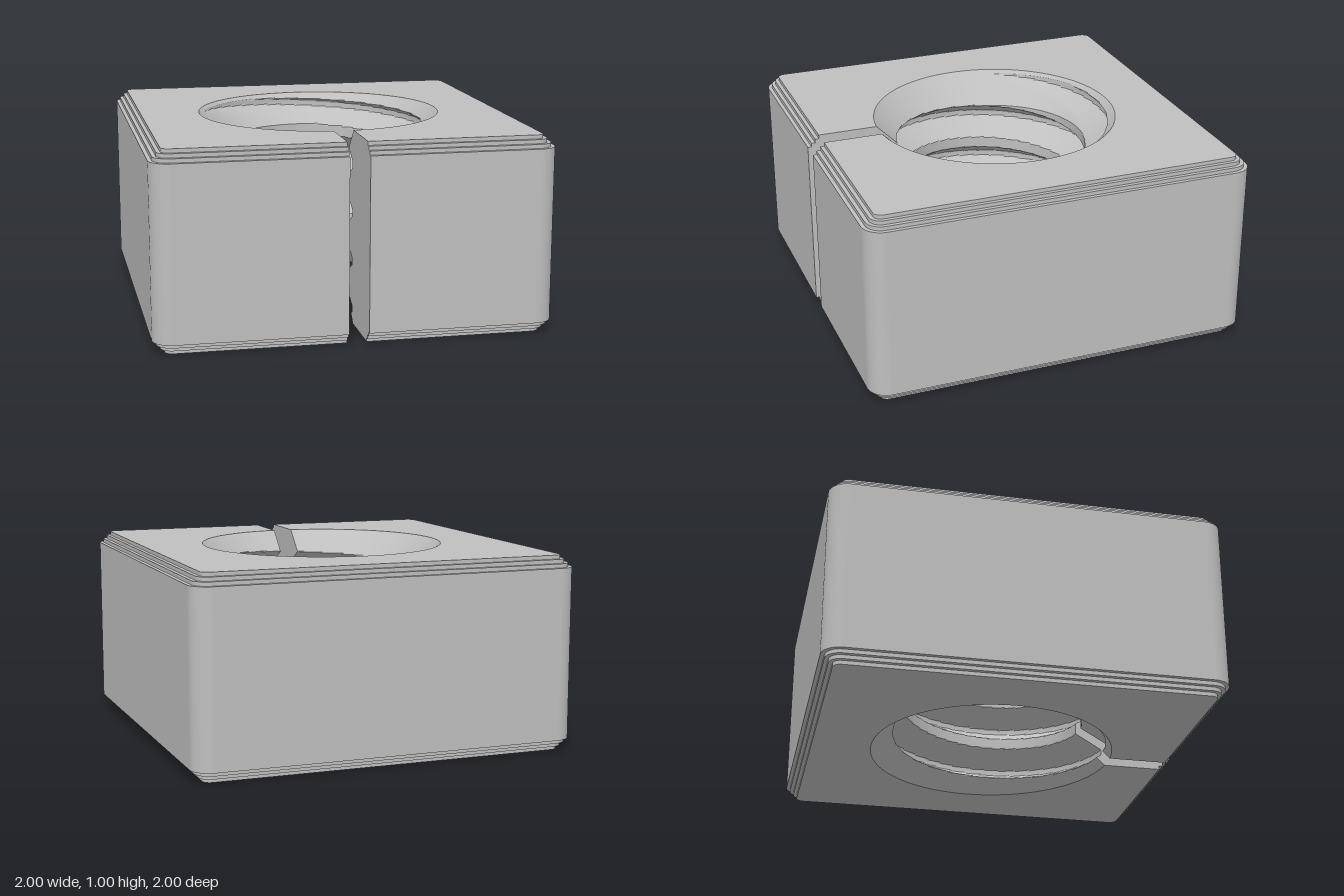
import * as THREE from 'three';
import { toCreasedNormals } from 'three/addons/utils/BufferGeometryUtils.js';

const HEIGHT = 1, HALF_SLOT = 0.05, MOUTH = 0.635;
const PITCH = 0.25, ROOT = 0.617, DEPTH = 0.137;

// Surface through rows of points; faces point to (column direction) x (row direction)
function gridGeometry(rows) {
  const n = rows[0].length, index = [];
  for (let j = 0; j < rows.length - 1; j++) {
    for (let i = 0; i < n - 1; i++) {
      const a = j * n + i, b = a + 1, d = a + n, c = d + 1;
      index.push(a, b, c, a, c, d);
    }
  }
  const geo = new THREE.BufferGeometry();
  geo.setAttribute('position', new THREE.Float32BufferAttribute(rows.flat(2), 3));
  geo.setIndex(index);
  geo.computeVertexNormals();
  return geo;
}

// Rounded square outline [x, z], open at the front slot
function outline(inset) {
  const h = 1 - inset, r = 0.1 - inset, pts = [[HALF_SLOT, h]];
  for (let k = 0; k < 4; k++) {
    const cx = (k < 2 ? 1 : -1) * (h - r), cz = (k === 0 || k === 3 ? 1 : -1) * (h - r);
    for (let s = 0; s <= 14; s++) {
      const a = (k + s / 14) * Math.PI / 2;
      pts.push([cx + r * Math.sin(a), cz + r * Math.cos(a)]);
    }
  }
  pts.push([-HALF_SLOT, h]);
  return pts;
}

// Radius of the threaded bore with a chamfer at both mouths
function boreRadius(theta, y) {
  const d = HEIGHT - y;
  const t = (d - 0.18) / PITCH + theta / (2 * Math.PI);
  const dist = Math.abs(t - Math.round(t)) * PITCH;
  const thread = ROOT - THREE.MathUtils.clamp((dist - 0.0156) / 0.577, 0, DEPTH);
  return Math.max(thread, MOUTH - d, MOUTH - y);
}

// Angle at which the bore meets a slot wall (side = 1 or -1)
function slotAngle(side, y) {
  let a = 0.09;
  for (let k = 0; k < 12; k++) a = Math.asin(HALF_SLOT / boreRadius(side * a, y));
  return a;
}

export function createModel() {
  const group = new THREE.Group();
  group.name = 'threadedClampNut';
  const metal = new THREE.MeshStandardMaterial({ color: 0xbfbfbf, side: THREE.DoubleSide });
  metal.name = 'grey metal';
  const add = (name, geo) => {
    const mesh = new THREE.Mesh(geo, metal);
    mesh.name = name;
    group.add(mesh);
  };

  // Stepped outer sides: [inset, y] from bottom to top
  const lower = [[0.06, 0], [0.06, 0.02], [0.04, 0.02], [0.04, 0.04], [0.02, 0.04], [0.02, 0.06], [0, 0.06]];
  const levels = [...lower, ...lower.map(([i, y]) => [i, HEIGHT - y]).reverse()];
  const rings = levels.map(([inset, y]) => outline(inset).map(([x, z]) => [x, y, z]));
  for (let j = 0; j < rings.length - 1; j++) {
    add(j % 2 ? 'edgeStep' : 'outerWall', gridGeometry([rings[j], rings[j + 1]]));
  }

  // Threaded bore
  const ROWS = 180, COLS = 144, bore = [];
  for (let j = 0; j <= ROWS; j++) {
    const y = HEIGHT * j / ROWS, row = [];
    const start = -slotAngle(-1, y) + 2 * Math.PI, end = slotAngle(1, y);
    for (let i = 0; i <= COLS; i++) {
      const a = start + (end - start) * i / COLS, r = boreRadius(a, y);
      row.push([r * Math.sin(a), y, r * Math.cos(a)]);
    }
    bore.push(row);
  }
  add('threadedBore', toCreasedNormals(gridGeometry(bore), 0.5));

  // Top and bottom faces, open at the bore and slot
  for (const top of [true, false]) {
    const s = top ? -1 : 1, rim = bore[top ? ROWS : 0];
    const pts = [...outline(0.06), ...rim.map(([x, , z]) => [x, z])];
    const geo = new THREE.ShapeGeometry(new THREE.Shape(pts.map(([x, z]) => new THREE.Vector2(x, s * z))));
    geo.rotateX(s * Math.PI / 2).translate(0, top ? HEIGHT : 0, 0);
    add(top ? 'topFace' : 'bottomFace', geo);
  }

  // Slot walls follow the outer steps and the thread profile
  for (const side of [1, -1]) {
    const inner = bore.map((row) => row[side > 0 ? COLS : 0]).reverse();
    const pts = [
      ...levels.map(([inset, y]) => new THREE.Vector2(side * (1 - inset), y)),
      ...inner.map(([, y, z]) => new THREE.Vector2(side * z, y)),
    ];
    const geo = new THREE.ShapeGeometry(new THREE.Shape(pts));
    geo.rotateY(-side * Math.PI / 2).translate(side * HALF_SLOT, 0, 0);
    add(side > 0 ? 'leftSlotWall' : 'rightSlotWall', geo);
  }
  return group;
}
